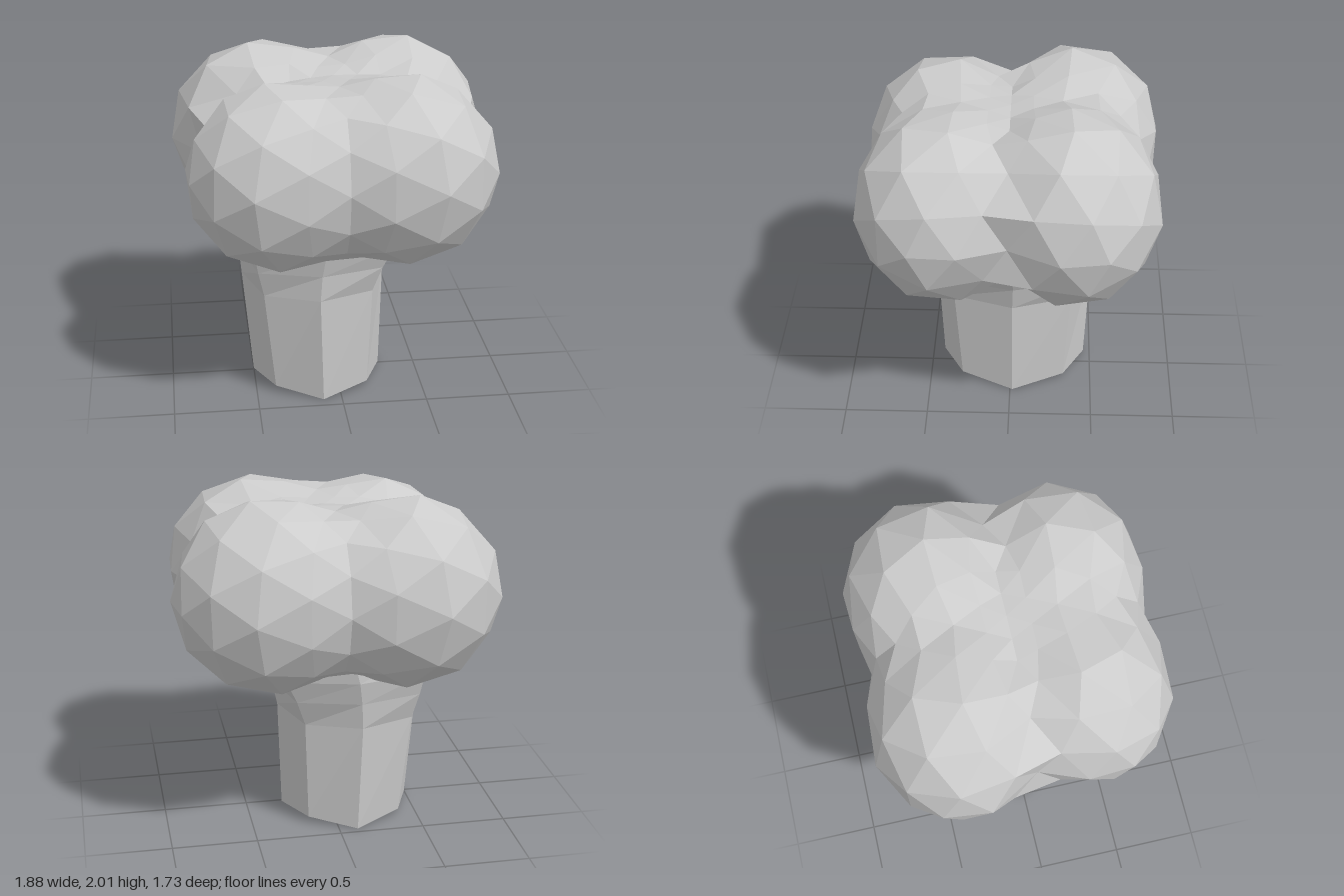
import * as THREE from 'three';

const material = new THREE.MeshStandardMaterial({ color: 0xcccccc, flatShading: true });

// Crown lobes: centre x, y, z and radius, in a front pair and a back pair
const frontPair = [[-0.355, 1.415, 0.375, 0.535], [0.36, 1.44, 0.385, 0.54]];
const backPair = [[-0.4, 1.455, -0.375, 0.55], [0.39, 1.465, -0.355, 0.555]];
// Core that fills the hollow between the lobes
const core = [0, 1.46, 0, 0.405];

// Smooth union of two distances with blend width k
function blend(a, b, k) {
  const h = Math.max(k - Math.abs(a - b), 0) / k;
  return Math.min(a, b) - h * h * k / 4;
}

// Distance to a ball that is a little shallower in z and hangs a little lower
function lobeDistance(p, [x, y, z, r]) {
  const dy = p.y < y ? (p.y - y) * 0.97 : p.y - y;
  return Math.hypot(p.x - x, dy, (p.z - z) * 1.08) - r;
}

const pairDistance = (p, [a, b], k) => blend(lobeDistance(p, a), lobeDistance(p, b), k);

function crownDistance(p) {
  const lobes = blend(pairDistance(p, frontPair, 0.22), pairDistance(p, backPair, 0.2), 0.04);
  return blend(lobes, lobeDistance(p, core), 0.2);
}

// Faceted ball pulled in along its rays onto the blended lobes
function createCrown() {
  const geometry = new THREE.IcosahedronGeometry(1, 3);
  const pos = geometry.attributes.position;
  const centre = new THREE.Vector3(0, 1.44, 0);
  const dir = new THREE.Vector3();
  const p = new THREE.Vector3();
  for (let i = 0; i < pos.count; i++) {
    dir.fromBufferAttribute(pos, i).normalize();
    let t = 1.6;
    for (let step = 0; step < 100; step++) {
      p.copy(centre).addScaledVector(dir, t);
      const d = crownDistance(p);
      if (d < 0.0005) break;
      t -= 0.9 * d;
    }
    pos.setXYZ(i, p.x, p.y, p.z);
  }
  geometry.computeVertexNormals();
  const mesh = new THREE.Mesh(geometry, material);
  mesh.name = 'crown';
  return mesh;
}

// Eight-sided trunk, flaring and growing squarer where it meets the crown
function createTrunk() {
  // height, centre x, centre z, half width, half depth, reach of diagonal corners
  const rings = [
    [0, -0.11, -0.015, 0.39, 0.445, 1],
    [0.66, -0.13, -0.015, 0.43, 0.475, 1.05],
    [0.82, -0.12, -0.02, 0.455, 0.49, 1.13],
    [0.96, -0.1, -0.02, 0.5, 0.52, 1.15],
    [1.12, -0.06, 0, 0.56, 0.55, 1.1],
  ];
  const last = rings.length - 1;
  const geometry = new THREE.CylinderGeometry(1, 1, last, 8, last);
  const pos = geometry.attributes.position;
  for (let i = 0; i < pos.count; i++) {
    const level = Math.round(pos.getY(i) + last / 2);
    const [y, cx, cz, rx, rz, reach] = rings[level];
    const x = pos.getX(i), z = pos.getZ(i);
    const diagonal = Math.abs(x * z) > 0.1;
    const s = diagonal ? reach : 1;
    // Diagonal corners of the foot sit slightly higher
    const lift = level === 0 && diagonal ? 0.04 : 0;
    pos.setXYZ(i, cx + x * rx * s, y + lift, cz + z * rz * s);
  }
  geometry.computeVertexNormals();
  const mesh = new THREE.Mesh(geometry, material);
  mesh.name = 'trunk';
  return mesh;
}

export function createModel() {
  const model = new THREE.Group();
  model.name = 'tree';
  model.add(createCrown(), createTrunk());
  return model;
}
